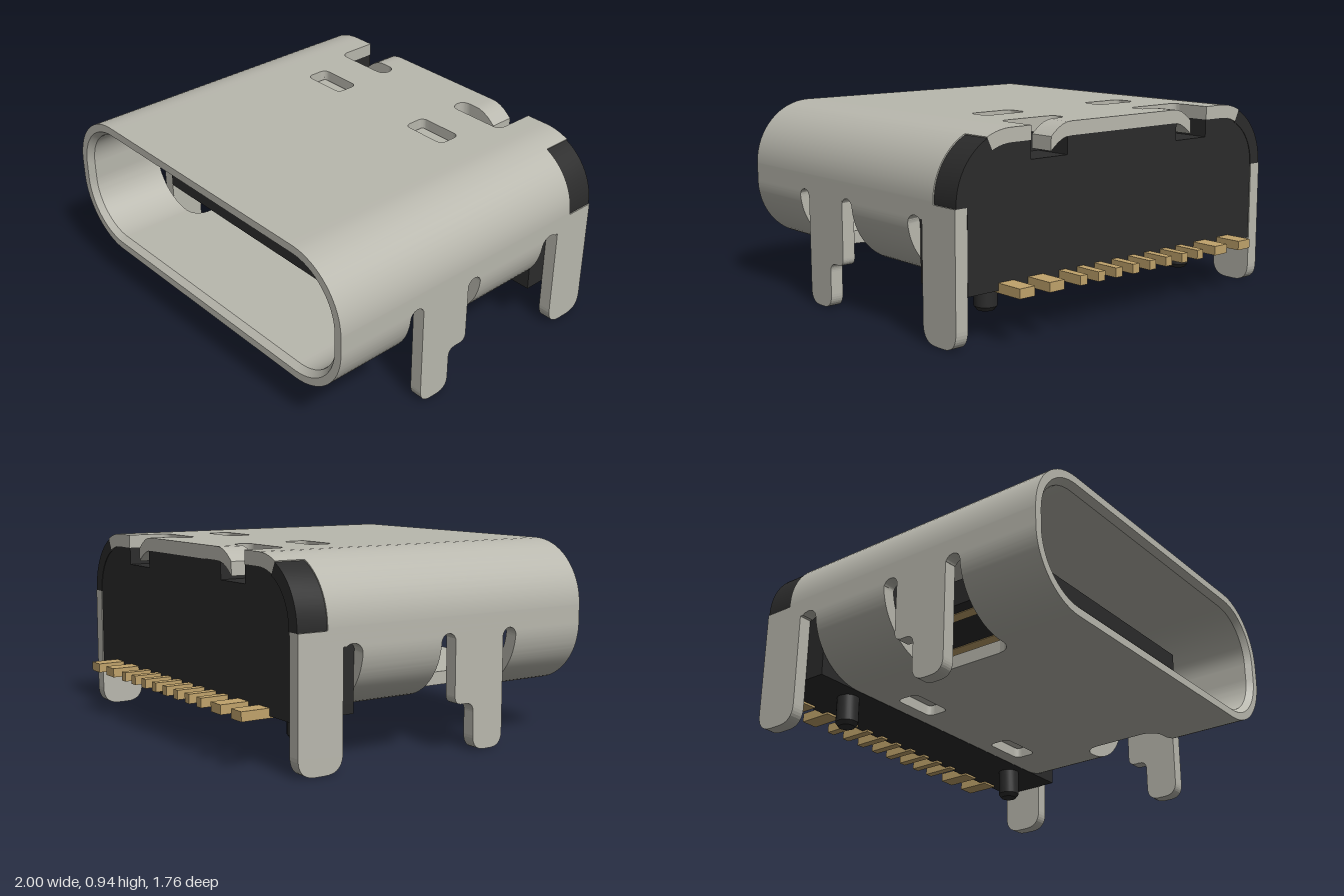
import * as THREE from 'three';
import { toCreasedNormals } from 'three/addons/utils/BufferGeometryUtils.js';
import { RoundedBoxGeometry } from 'three/addons/geometries/RoundedBoxGeometry.js';
import { ConvexGeometry } from 'three/addons/geometries/ConvexGeometry.js';

const steel = new THREE.MeshStandardMaterial({ name: 'steel', color: 0xb9b8ae });
const plastic = new THREE.MeshStandardMaterial({ name: 'black plastic', color: 0x2b2b2b });
const gold = new THREE.MeshStandardMaterial({ name: 'gold', color: 0xc0a36b });

// Shell outline: a rounded slot, walked by arc length u from the top centre
const TOP = 0.94, BOTTOM = 0.235, R = 0.31, WALL = 0.065;
const FRONT = 0.88, BACK = -0.745, FLAT = 1 - R;
const ARC = R * Math.PI / 2, SIDE = TOP - BOTTOM - 2 * R;
const HALF = 2 * FLAT + 2 * ARC + SIDE;

function outline(u, depth) {
  const r = R - depth;
  if (u < FLAT) return [u, TOP - depth];
  u -= FLAT;
  if (u < ARC) return [FLAT + r * Math.sin(u / R), TOP - R + r * Math.cos(u / R)];
  u -= ARC;
  if (u < SIDE) return [1 - depth, TOP - R - u];
  u -= SIDE;
  if (u < ARC) return [FLAT + r * Math.cos(u / R), BOTTOM + R - r * Math.sin(u / R)];
  return [FLAT - (u - ARC), BOTTOM + depth];
}

// Cut-outs in the unrolled wall: u from, u to, z from, z to, corner radius
const cuts = [
  [0.46, 0.575, -9, -0.53, 0.04], [0.25, 0.575, -0.62, -0.53, 0.044], // rear L notches
  [0.245, 0.49, -0.335, -0.215, 0.03], [HALF - 0.49, HALF - 0.245, -0.335, -0.215, 0.03], // dimples
  [0.83, 1.187, -9, -0.595, 0.005], // rear corners
  [1.25, 1.42, 0.39, 0.47, 0.04], [1.25, 1.42, 0.025, 0.105, 0.04], // slots beside front legs
  [1.277, 1.83, 0.025, 0.47, 0.08], // opening the front leg is folded from
  [1.25, 1.42, -0.515, -0.41, 0.05], [1.262, 3, -9, -0.41, 0.05], // rear leg slot and open rear floor
];

function spansAt(u) {
  let spans = [[BACK, FRONT]];
  for (const [u0, u1, z0, z1, r] of cuts) {
    if (u <= u0 || u >= u1) continue;
    const d = Math.min(u - u0, u1 - u, r);
    const inset = r - Math.sqrt(r * r - (r - d) ** 2);
    const a = z0 + inset, b = z1 - inset;
    spans = spans.flatMap(([s, e]) => [[s, Math.min(e, a)], [Math.max(s, b), e]].filter(([p, q]) => q - p > 1e-4));
  }
  return spans;
}

// Bent wall made of short prisms between successive stations, mirrored to both sides
function bentWall(from, to, spanFn, depth, bend) {
  const stations = [from, to, FLAT, FLAT + ARC, FLAT + ARC + SIDE, HALF - FLAT];
  for (let u = from; u < to; u += 0.03) stations.push(u);
  for (const [u0, u1, , , r] of cuts)
    for (const k of [0, 0.08, 0.3, 0.6, 1]) stations.push(u0 + r * k, u1 - r * k);
  const us = stations.filter(u => u >= from && u <= to).sort((a, b) => a - b);
  const positions = [];
  const section = (u, [z0, z1]) => {
    const lip = z1 > FRONT - 0.001;
    const points = [[0, z0], [0, z1], [lip ? 0.04 : 0.03, z1], [WALL, lip ? z1 - 0.03 : z1], [WALL, z0]];
    return points.map(([d, z]) => {
      const [x, y] = outline(u, depth + d);
      return [x, y - bend(u, z1), z];
    });
  };
  const tri = (a, b, c) => {
    positions.push(...a, ...b, ...c);
    for (const p of [a, c, b]) positions.push(-p[0], p[1], p[2]);
  };
  for (let i = 0; i + 1 < us.length; i++) {
    const a = us[i], b = us[i + 1];
    if (b - a < 1e-5) continue;
    let sa = spanFn(a + 1e-6), sb = spanFn(b - 1e-6);
    if (sa.length !== sb.length) sa = sb = spanFn((a + b) / 2);
    sa.forEach((span, k) => {
      const A = section(a, span), B = section(b, sb[k]);
      for (let p = 0; p < 5; p++) {
        const q = (p + 1) % 5;
        tri(A[p], A[q], B[q]);
        tri(A[p], B[q], B[p]);
      }
      for (let p = 1; p < 4; p++) {
        tri(A[0], A[p + 1], A[p]);
        tri(B[0], B[p], B[p + 1]);
      }
    });
  }
  const g = new THREE.BufferGeometry();
  g.setAttribute('position', new THREE.Float32BufferAttribute(positions, 3));
  return toCreasedNormals(g, 0.45);
}

export function createModel() {
  const model = new THREE.Group();
  model.name = 'connector';
  const add = (name, geometry, material, x = 0, y = 0, z = 0) => {
    const mesh = new THREE.Mesh(geometry, material);
    mesh.name = name;
    mesh.position.set(x, y, z);
    model.add(mesh);
    return mesh;
  };

  // Metal shell; the rear flap's tips curl down
  const curl = (u, z) => (z < -0.6 && u > 0.34 && u <= 0.4601 ? 0.06 * ((u - 0.34) / 0.12) ** 2 : 0);
  add('shell', bentWall(0, HALF, spansAt, 0, curl), steel);
  add('rearCorners', bentWall(0.83, 1.187, () => [[BACK, -0.595]], 0.006, () => 0), plastic);

  // Pressed dimples in roof and floor
  for (const x of [-0.367, 0.367])
    for (const y of [0.858, 0.3175])
      add('dimple', new RoundedBoxGeometry(0.255, 0.075, 0.13, 3, 0.025), steel, x, y, -0.275);

  // Legs, drawn with shape x = -z
  const front = new THREE.Shape();
  front.moveTo(-0.39, 0.55);
  front.lineTo(-0.39, 0.07);
  front.quadraticCurveTo(-0.39, 0, -0.32, 0);
  front.lineTo(-0.285, 0);
  front.quadraticCurveTo(-0.215, 0, -0.215, 0.07);
  front.lineTo(-0.215, 0.18);
  front.quadraticCurveTo(-0.215, 0.225, -0.17, 0.225);
  front.lineTo(-0.145, 0.225);
  front.quadraticCurveTo(-0.105, 0.225, -0.105, 0.265);
  front.lineTo(-0.105, 0.55);
  const rear = new THREE.Shape();
  rear.moveTo(0.515, 0.62);
  rear.lineTo(0.515, 0.09);
  rear.quadraticCurveTo(0.515, 0, 0.605, 0);
  rear.lineTo(0.655, 0);
  rear.quadraticCurveTo(0.745, 0, 0.745, 0.09);
  rear.lineTo(0.745, 0.62);
  for (const [name, shape] of [['frontLeg', front], ['rearLeg', rear]]) {
    const g = new THREE.ExtrudeGeometry(shape, { depth: WALL, bevelEnabled: false, curveSegments: 10 });
    g.rotateY(Math.PI / 2);
    add(name, g, steel, 1 - WALL);
    add(name, g, steel, -1);
  }

  // Plastic housing in three slices
  const slice = (shape, z0, z1) => add('housing',
    toCreasedNormals(new THREE.ExtrudeGeometry(shape, { depth: z1 - z0, bevelEnabled: false, curveSegments: 16 }), 0.5),
    plastic, 0, 0, z0);
  const r = R - WALL, w = 0.932, top = TOP - WALL;
  const body = (notched) => {
    const s = new THREE.Shape();
    s.moveTo(-w, BOTTOM);
    s.lineTo(w, BOTTOM);
    s.absarc(w - r, top - r, r, 0, Math.PI / 2);
    if (notched) for (const [x, y] of [[0.575, top], [0.575, 0.79], [0.36, 0.79], [0.36, top],
      [-0.36, top], [-0.36, 0.79], [-0.575, 0.79], [-0.575, top]]) s.lineTo(x, y);
    s.absarc(r - w, top - r, r, Math.PI / 2, Math.PI);
    return s;
  };
  slice(body(true), BACK + 0.003, -0.55);
  slice(body(false), -0.55, -0.412);
  const plug = new THREE.Shape();
  const low = BOTTOM + WALL + r;
  plug.absarc(w - r, top - r, r, 0, Math.PI / 2);
  plug.absarc(r - w, top - r, r, Math.PI / 2, Math.PI);
  plug.absarc(r - w, low, r, Math.PI, Math.PI * 1.5);
  plug.absarc(w - r, low, r, Math.PI * 1.5, Math.PI * 2);
  slice(plug, -0.412, -0.36);

  // Tongue with a chamfered nose
  const corners = [];
  for (const [x, h, z] of [[0.665, 0.065, -0.4], [0.665, 0.065, 0.53], [0.61, 0.045, 0.6]])
    for (const sx of [-1, 1])
      for (const sy of [-1, 1]) corners.push(new THREE.Vector3(sx * x, 0.59 + sy * h, z));
  add('tongue', new ConvexGeometry(corners), plastic);

  // Contacts on the tongue: outer pairs reach further forward
  const contacts = [-0.57, -0.285, -0.17, -0.06, 0.06, 0.17, 0.285, 0.57];
  for (const x of contacts) {
    const end = Math.abs(x) > 0.2 ? 0.51 : 0.42;
    for (const y of [0.655, 0.525])
      add('contact', new THREE.BoxGeometry(0.06, 0.008, end + 0.38), gold, x, y, (end - 0.38) / 2);
  }

  // Solder pins at the back
  const pins = [[-0.727, 0.087], [-0.55, 0.088], [0.547, 0.088], [0.72, 0.087]];
  for (let i = 0; i < 8; i++) pins.push([-0.395 + i * 0.1115, 0.042]);
  for (const [x, width] of pins)
    add('solderPin', new THREE.BoxGeometry(width, 0.045, 0.175), gold, x, 0.2475, -0.795);

  // Locating posts
  const profile = [[0, 0.085], [0.04, 0.085], [0.055, 0.105], [0.055, 0.27]].map(p => new THREE.Vector2(...p));
  const post = toCreasedNormals(new THREE.LatheGeometry(profile, 24), 0.5);
  for (const x of [-0.65, 0.645]) add('locatingPost', post, plastic, x, 0, -0.512);

  return model;
}
